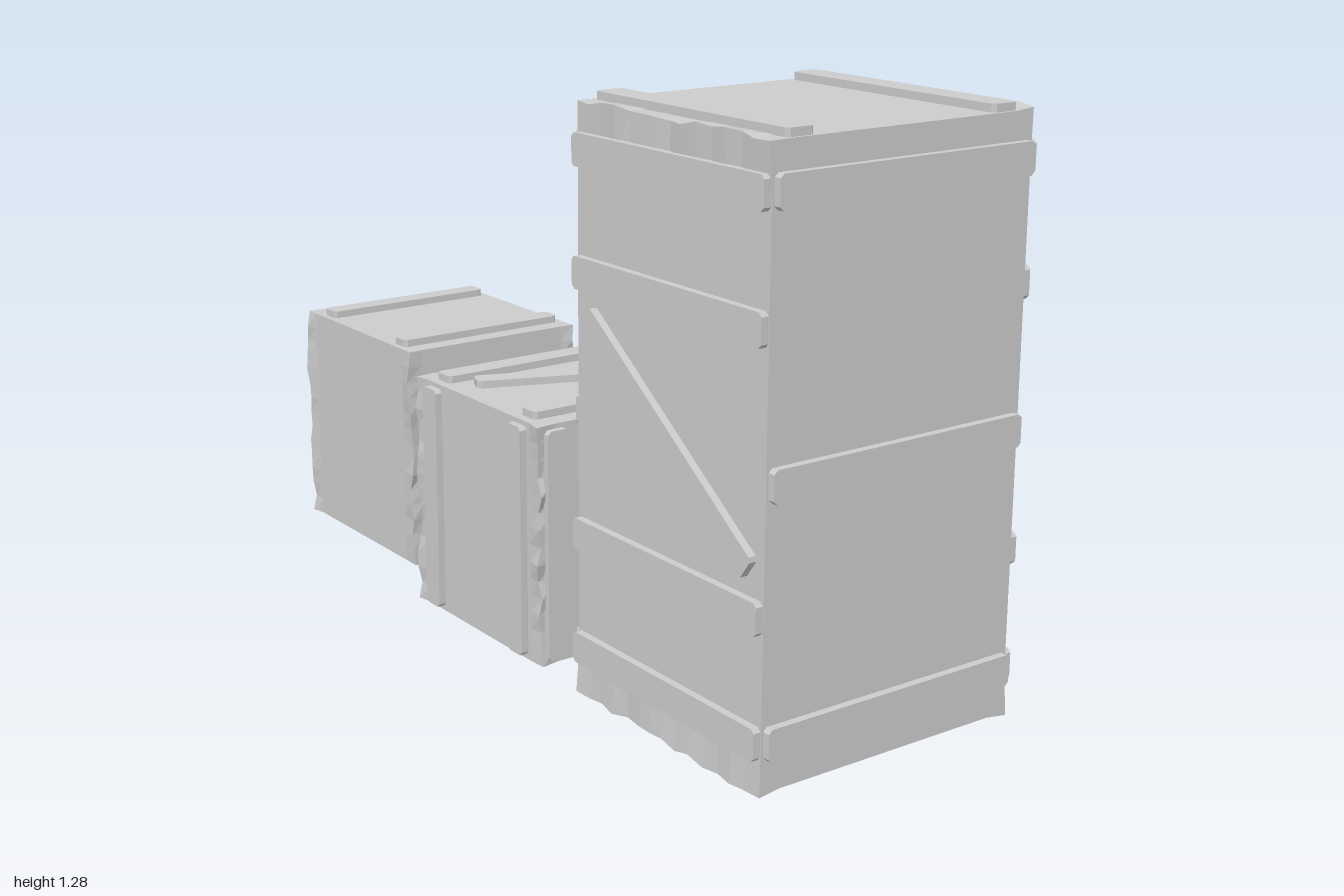
import * as THREE from 'three';

const wood = new THREE.MeshStandardMaterial({ color: 0xcccccc, flatShading: true });

// Repeatable noise in 0..1 from a position, so shared edges stay joined
function noise(x, y, z, k) {
  const s = Math.sin(x * 127.1 + y * 311.7 + z * 74.7 + k * 53.3) * 43758.5453;
  return s - Math.floor(s);
}

// Box whose edges along one axis are splintered in and out
function splinteredBox(size, axis, n) {
  const [w, h, d] = size;
  const geo = new THREE.BoxGeometry(w, h, d, n, n, n);
  const p = geo.attributes.position;
  for (let i = 0; i < p.count; i++) {
    const v = [p.getX(i), p.getY(i), p.getZ(i)].map((c) => Math.round(c * 1e4) / 1e4);
    const others = [0, 1, 2].filter((a) => a !== axis);
    const onEdge = others.every((a) => Math.abs(Math.abs(v[a]) - size[a] / 2) < 1e-3);
    if (!onEdge) continue;
    const out = v.slice();
    others.forEach((a) => { out[a] += Math.sign(v[a]) * (noise(...v, a) * 0.014 - 0.004); });
    p.setXYZ(i, ...out);
  }
  geo.computeVertexNormals();
  return geo;
}

// Flat board with clipped corners, running between two points on a face
function batten(name, [u1, v1], [u2, v2], width, thick) {
  const l = Math.hypot(u2 - u1, v2 - v1) / 2, w = width / 2, c = 0.008;
  const shape = new THREE.Shape([
    [-l, -w + c], [-l + c, -w], [l - c, -w], [l, -w + c],
    [l, w - c], [l - c, w], [-l + c, w], [-l, w - c],
  ].map(([x, y]) => new THREE.Vector2(x, y)));
  const geo = new THREE.ExtrudeGeometry(shape, { depth: thick + 0.004, bevelEnabled: false });
  const mesh = new THREE.Mesh(geo, wood);
  mesh.name = name;
  mesh.position.set((u1 + u2) / 2, (v1 + v2) / 2, -0.004);
  mesh.rotation.z = Math.atan2(v2 - v1, u2 - u1);
  return mesh;
}

// A crate: body plus lists of boards [start, end, width] for each kind of face
function crate(name, min, max, axis, n, boards) {
  const size = max.map((m, i) => m - min[i]);
  const [w, h, d] = size;
  const group = new THREE.Group();
  group.name = name;
  group.position.set(...max.map((m, i) => (m + min[i]) / 2));
  const body = new THREE.Mesh(splinteredBox(size, axis, n), wood);
  body.name = name + 'Body';
  group.add(body);

  const faces = [
    ['front', boards.ends, [0, 0, d / 2], [0, 0, 0]],
    ['back', boards.ends, [0, 0, -d / 2], [0, Math.PI, 0]],
    ['left', boards.sides, [w / 2, 0, 0], [0, Math.PI / 2, 0]],
    ['right', boards.sides, [-w / 2, 0, 0], [0, -Math.PI / 2, 0]],
    ['top', boards.top, [0, h / 2, 0], [-Math.PI / 2, 0, 0]],
  ];
  for (const [side, list, pos, rot] of faces) {
    if (!list) continue;
    const face = new THREE.Group();
    face.name = side + 'Battens';
    face.position.set(...pos);
    face.rotation.set(...rot);
    list.forEach(([a, b, width]) => face.add(batten(side + 'Batten', a, b, width, 0.017)));
    group.add(face);
  }
  return group;
}

// Board helpers: across at a height, upright at an offset
const across = (v, half, width) => [[-half, v], [half, v], width];
const upright = (u, half, width) => [[u, -half], [u, half], width];

export function createModel() {
  const model = new THREE.Group();
  model.name = 'crates';

  // Tall crate with horizontal boards and a diagonal brace front and back
  model.add(crate('tallCrate', [0.373, 0.01, -0.322], [0.977, 1.265, 0.325], 0, 14, {
    ends: [
      ...[0.533, 0.283, -0.272, -0.525].map((v) => across(v, 0.3, 0.068)),
      [[-0.26, 0.198], [0.265, -0.182], 0.06],
    ],
    sides: [0.535, -0.012, -0.525].map((v) => across(v, 0.318, 0.068)),
    top: [0.257, -0.253].map((v) => across(v, 0.296, 0.066)),
  }));

  // Middle crate with upright boards and diagonals on the sides and lid
  model.add(crate('middleCrate', [-0.277, 0.008, -0.328], [0.222, 0.553, 0.325], 1, 14, {
    ends: [-0.175, 0.175].map((u) => upright(u, 0.262, 0.056)),
    sides: [
      ...[-0.285, 0.285].map((u) => upright(u, 0.262, 0.056)),
      [[-0.2, 0.215], [0.2, -0.205], 0.055],
    ],
    top: [
      ...[-0.175, 0.175].map((u) => upright(u, 0.305, 0.056)),
      [[0.108, 0.3], [-0.1, -0.265], 0.052],
    ],
  }));

  // Small plain crate with two boards on the lid
  model.add(crate('smallCrate', [-0.99, 0.01, -0.24], [-0.478, 0.551, 0.233], 1, 14, {
    top: [-0.172, 0.185].map((u) => upright(u, 0.222, 0.052)),
  }));

  return model;
}
